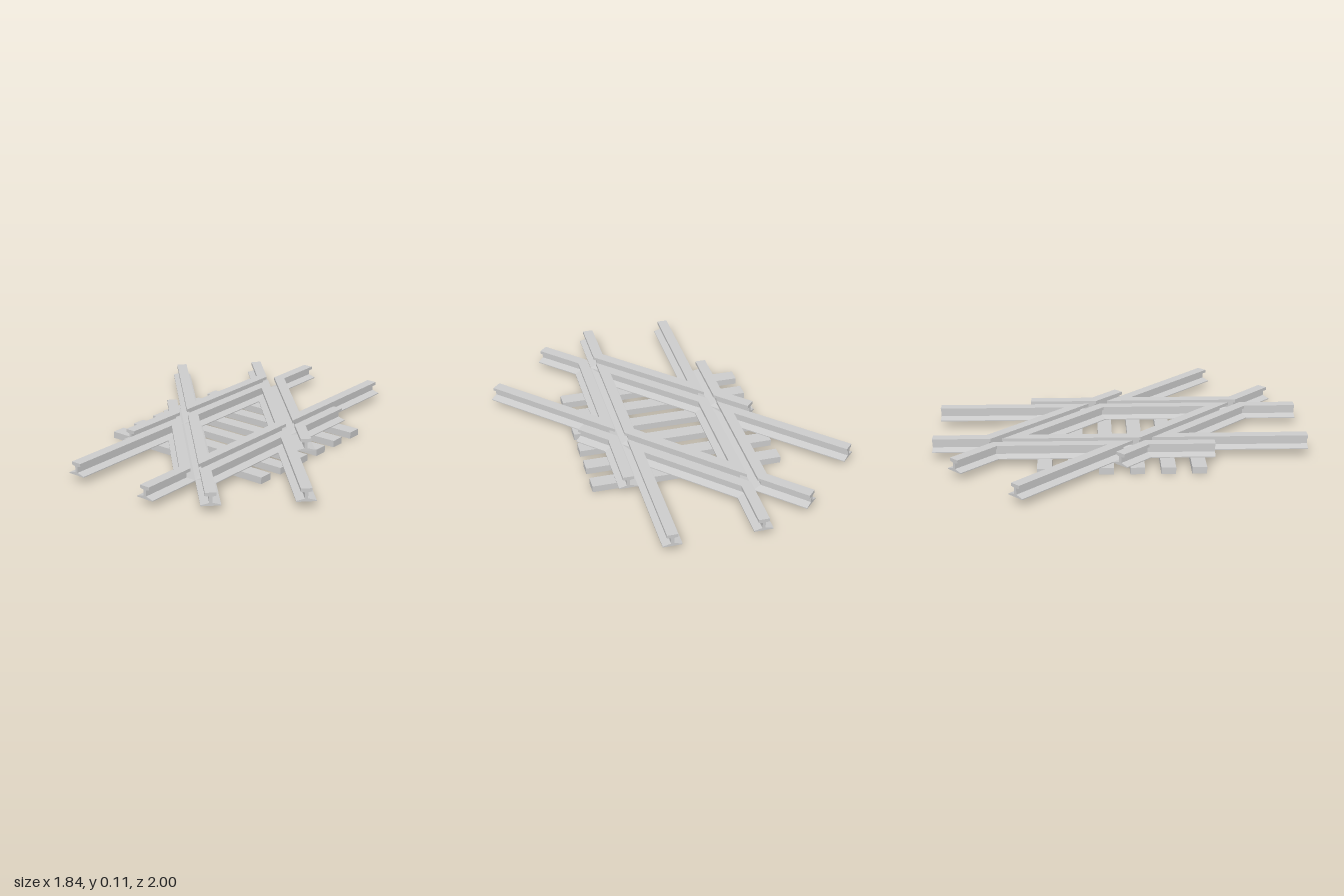
import * as THREE from 'three';

const material = new THREE.MeshStandardMaterial({ color: 0xcccccc, flatShading: true });

const FOOT = 0.051;              // half width of the rail foot
const X = 0.286, D = 0.407;      // flangeway centre lines: x = +-X and x + z = +-D
const S = Math.SQRT1_2;
const ALONG_Z = [0, 1], DIAGONAL = [S, -S];

// Rail cross-section: right half, from foot to head, then mirrored
const half = [[FOOT, 0.037], [FOOT, 0.042], [0.008, 0.053], [0.008, 0.086], [0.029, 0.09], [0.029, 0.107]];
const profile = new THREE.Shape([
  ...half.map(([u, y]) => new THREE.Vector2(u, y)),
  ...half.slice().reverse().map(([u, y]) => new THREE.Vector2(-u, y)),
]);

// Straight rail from a to b in [x, z]. Each end can be cut along a line direction;
// a gap end is trimmed back to the outline of the rail it passes.
function railPiece(a, b, startCut, endCut) {
  const length = Math.hypot(b[0] - a[0], b[1] - a[1]);
  const d = [(b[0] - a[0]) / length, (b[1] - a[1]) / length];
  const n = [d[1], -d[0]];
  const shift = (cut, u, sign) => {
    if (!cut) return 0;
    const c = cut.dir;
    const slope = (c[0] * d[0] + c[1] * d[1]) / (c[0] * n[0] + c[1] * n[1]);
    return slope * u + (cut.gap ? sign * (FOOT - Math.abs(u)) / S : 0);
  };
  const geometry = new THREE.ExtrudeGeometry(profile, { depth: 1, bevelEnabled: false });
  const p = geometry.attributes.position;
  for (let i = 0; i < p.count; i++) {
    const u = p.getX(i);
    const t = p.getZ(i) < 0.5 ? shift(startCut, u, 1) : length + shift(endCut, u, -1);
    p.setXYZ(i, a[0] + d[0] * t + n[0] * u, p.getY(i), a[1] + d[1] * t + n[1] * u);
  }
  geometry.computeVertexNormals();
  return new THREE.Mesh(geometry, material);
}

// Two pieces meeting in a mitred bend
function bentRail(a, bend, b, startCut) {
  const unit = (p, q) => new THREE.Vector2(q[0] - p[0], q[1] - p[1]).normalize();
  const m = unit(bend, b).sub(unit(a, bend));
  const mitre = { dir: [m.x, m.y] };
  const group = new THREE.Group();
  group.add(railPiece(a, bend, startCut, mitre), railPiece(bend, b, mitre, null));
  return group;
}

// Half of the crossing; the other half is the same turned by 180 degrees
function halfCrossing() {
  const group = new THREE.Group();
  const add = (name, part) => { part.name = name; group.add(part); };
  const cutDiagonal = { dir: DIAGONAL, gap: true };
  const cutStraight = { dir: ALONG_Z, gap: true };
  const rx = X - FOOT, gx = X + FOOT;                  // running rail and guard rail
  const rd = D - FOOT / S, gd = D + FOOT / S;          // the same on the diagonal track

  // Straight track
  add('straightApproachRail', railPiece([-rx, -1], [-rx, rx - D], null, cutDiagonal));
  add('straightMiddleRail', railPiece([-rx, rx - D], [-rx, rx + D], cutDiagonal, cutDiagonal));
  add('straightGuardEnd', railPiece([-gx, -0.35], [-gx, gx - D], null, cutDiagonal));
  add('straightWingRail', bentRail([-gx, gx - D], [-gx, rd + gx], [-0.55, rd + 0.55], cutDiagonal));

  // Diagonal track
  add('diagonalApproachRail', railPiece([-0.885, 0.885 - rd], [-X, X - rd], null, cutStraight));
  add('diagonalMiddleRail', railPiece([-X, X - rd], [X, -X - rd], cutStraight, cutStraight));
  add('diagonalGuardEnd', railPiece([-0.595, 0.595 - gd], [-X, X - gd], null, cutStraight));
  add('diagonalWingRail', bentRail([-X, X - gd], [rx, -rx - gd], [rx, -1], cutStraight));
  return group;
}

export function createModel() {
  const model = new THREE.Group();
  model.name = 'railCrossing';

  for (const side of [0, 1]) {
    const rails = halfCrossing();
    rails.name = side ? 'rightRails' : 'leftRails';
    rails.rotation.y = side * Math.PI;
    model.add(rails);
  }

  // Sleepers lie square to the diagonal track
  const sleepers = new THREE.Group();
  sleepers.name = 'sleepers';
  for (let i = 0; i < 6; i++) {
    const sleeper = new THREE.Mesh(new THREE.BoxGeometry(1.04, 0.037, 0.078), material);
    const c = (i - 2.5) * 0.115;
    sleeper.position.set(c, 0.0185, -c);
    sleeper.rotation.y = -Math.PI / 4;
    sleeper.name = 'sleeper';
    sleepers.add(sleeper);
  }
  model.add(sleepers);
  return model;
}
